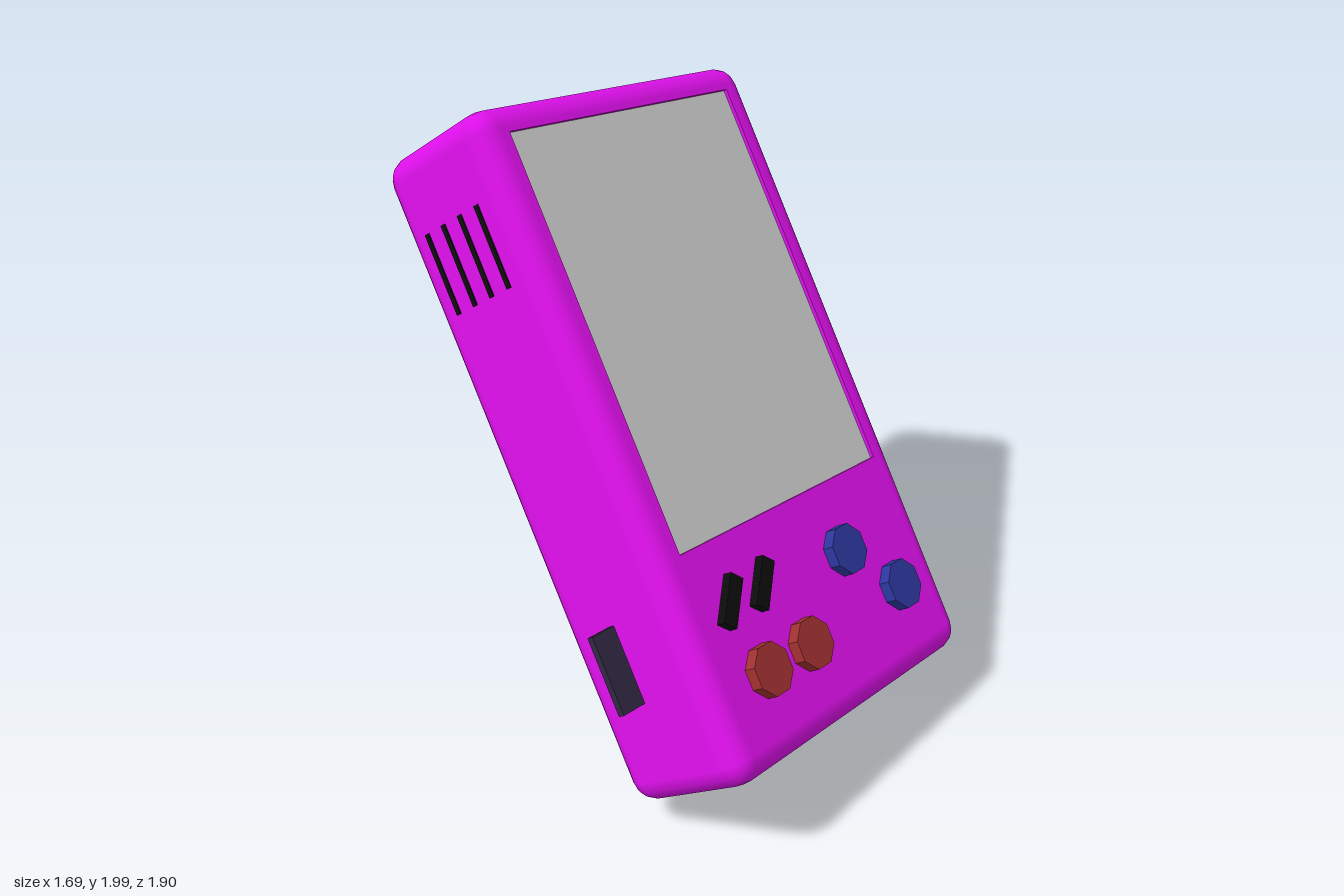
import * as THREE from 'three';
import { RoundedBoxGeometry } from 'three/addons/geometries/RoundedBoxGeometry.js';

const W = 1.18, H = 2.035, D = 0.48, R = 0.075; // body size and edge radius
const RECESS = 0.012;

const paint = (color) => new THREE.MeshStandardMaterial({ color });
const magenta = paint(0xdd10ea);
const grey = paint(0xcccccc);
const red = paint(0xa03030);
const blue = paint(0x2c369c);
const black = paint(0x0c0c0c);
const darkViolet = paint(0x302842);

function add(parent, name, geometry, material, x = 0, y = 0, z = 0) {
  const mesh = new THREE.Mesh(geometry, material);
  mesh.name = name;
  mesh.position.set(x, y, z);
  parent.add(mesh);
  return mesh;
}

// Rounded box with its flat front and back left open for the recessed plates
function shellGeometry() {
  const box = new RoundedBoxGeometry(W, H, D, 2, R);
  const p = box.attributes.position, n = box.attributes.normal;
  const points = [], normals = [];
  for (let i = 0; i < p.count; i += 3) {
    const corners = [i, i + 1, i + 2];
    if (corners.every((k) => Math.abs(p.getZ(k)) > D / 2 - 1e-4)) continue;
    for (const k of corners) {
      points.push(p.getX(k), p.getY(k), p.getZ(k));
      normals.push(n.getX(k), n.getY(k), n.getZ(k));
    }
  }
  const shell = new THREE.BufferGeometry();
  shell.setAttribute('position', new THREE.Float32BufferAttribute(points, 3));
  shell.setAttribute('normal', new THREE.Float32BufferAttribute(normals, 3));
  return shell;
}

function rectangle(target, w, h, cy = 0) {
  target.moveTo(-w / 2, cy - h / 2);
  target.lineTo(w / 2, cy - h / 2);
  target.lineTo(w / 2, cy + h / 2);
  target.lineTo(-w / 2, cy + h / 2);
  target.closePath();
  return target;
}

// Flat face with a shallow rectangular recess and a panel on its floor
function recessedFace(name, panelName, w, h, cy, panelMaterial) {
  const face = new THREE.Group();
  face.name = name;
  const shape = rectangle(new THREE.Shape(), W - 2 * R, H - 2 * R);
  shape.holes.push(rectangle(new THREE.Path(), w, h, cy));
  const plate = new THREE.ExtrudeGeometry(shape, { depth: RECESS, bevelEnabled: false });
  add(face, name + 'Plate', plate, magenta, 0, 0, D / 2 - RECESS);
  add(face, panelName, new THREE.PlaneGeometry(w, h), panelMaterial, 0, cy, D / 2 - RECESS);
  return face;
}

export function createModel() {
  const model = new THREE.Group();
  model.name = 'handheldConsole';
  const body = new THREE.Group();
  body.name = 'console';
  model.add(body);

  // Case
  add(body, 'case', shellGeometry(), magenta);
  body.add(recessedFace('frontFace', 'screen', 0.975, 1.274, 0.289, grey));
  const back = recessedFace('backFace', 'batteryCover', 0.8, 0.84, 0.34, magenta);
  back.rotation.y = Math.PI;
  body.add(back);

  // Round eight-sided buttons
  const cap = new THREE.CylinderGeometry(0.08, 0.08, 0.06, 8).toNonIndexed();
  cap.rotateY(Math.PI / 8);
  cap.rotateX(Math.PI / 2);
  cap.computeVertexNormals();
  const buttons = [
    ['redButton', red, -0.345, -0.754], ['redButton', red, -0.14, -0.754],
    ['blueButton', blue, 0.163, -0.562], ['blueButton', blue, 0.35, -0.745],
  ];
  for (const [name, material, x, y] of buttons) add(body, name, cap, material, x, y, D / 2 + 0.008);

  // Slanted menu keys
  for (const x of [-0.385, -0.235]) {
    const key = add(body, 'menuKey', new THREE.BoxGeometry(0.155, 0.05, 0.06), black, x, -0.528, D / 2);
    key.rotation.z = 0.87;
  }

  // Speaker slots on the side
  for (let i = 0; i < 4; i++) {
    add(body, 'speakerSlot', new THREE.BoxGeometry(0.02, 0.25, 0.018), black, -W / 2 + 0.006, 0.648, -0.13 + i * 0.08);
  }

  // Thin tab on the side
  add(body, 'sideTab', new THREE.BoxGeometry(0.11, 0.24, 0.022), darkViolet, -0.625, -0.593, -0.025);

  // Tilt the console so that it balances on one corner
  const right = new THREE.Vector3(0.741, -0.095, -0.664).normalize();
  const front = right.clone().cross(new THREE.Vector3(-0.306, 0.831, -0.465)).normalize();
  const up = front.clone().cross(right);
  body.quaternion.setFromRotationMatrix(new THREE.Matrix4().makeBasis(right, up, front));
  body.position.y = 1;
  return model;
}
